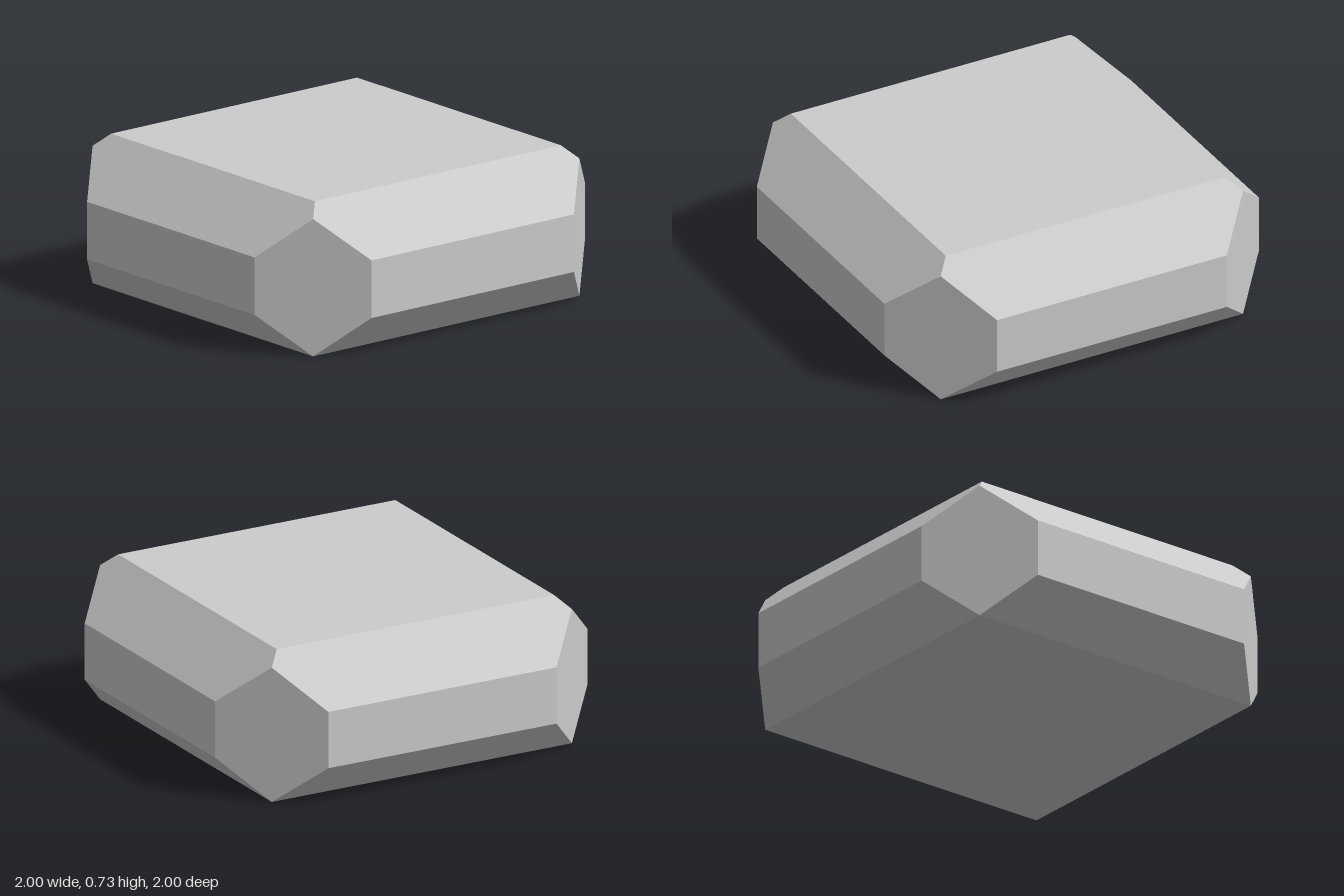
import * as THREE from 'three';

const CORNER = 1.613; // vertical corner cut: |x| + |z| = CORNER
const HEIGHTS = [0, 0.1935, 0.473, 0.6665, 0.728]; // heights of the cross-sections

// Half width at a height: sloped below, straight in the middle, sloped above
const halfWidth = (y) => Math.min(1, 0.8065 + y, 1.473 - y);

// Square cross-section with cut corners (the cut vanishes where the square is small)
function section(y) {
  const h = halfWidth(y);
  const c = Math.min(h, CORNER - h);
  return [[h, -c], [h, c], [c, h], [-c, h], [-h, c], [-h, -c], [-c, -h], [c, -h]]
    .map(([x, z]) => new THREE.Vector3(x, y, z));
}

function blockGeometry() {
  const rings = HEIGHTS.map(section);
  const points = [];
  const triangle = (a, b, c) => {
    if (new THREE.Triangle(a, b, c).getArea() > 1e-6) points.push(a, b, c);
  };

  // Side facets between neighbouring sections
  for (let r = 0; r < rings.length - 1; r++) {
    const low = rings[r], up = rings[r + 1];
    for (let i = 0; i < 8; i++) {
      const j = (i + 1) % 8;
      triangle(low[i], up[i], up[j]);
      triangle(low[i], up[j], low[j]);
    }
  }

  // Flat bottom and top
  const bottom = rings[0], top = rings[rings.length - 1];
  for (let i = 1; i < 7; i++) {
    triangle(bottom[0], bottom[i], bottom[i + 1]);
    triangle(top[0], top[i + 1], top[i]);
  }

  const geometry = new THREE.BufferGeometry().setFromPoints(points);
  geometry.computeVertexNormals();
  return geometry;
}

export function createModel() {
  const model = new THREE.Group();
  model.name = 'chamferedBlock';
  const material = new THREE.MeshStandardMaterial({ color: 0xcccccc, flatShading: true });
  const block = new THREE.Mesh(blockGeometry(), material);
  block.name = 'block';
  model.add(block);
  return model;
}
